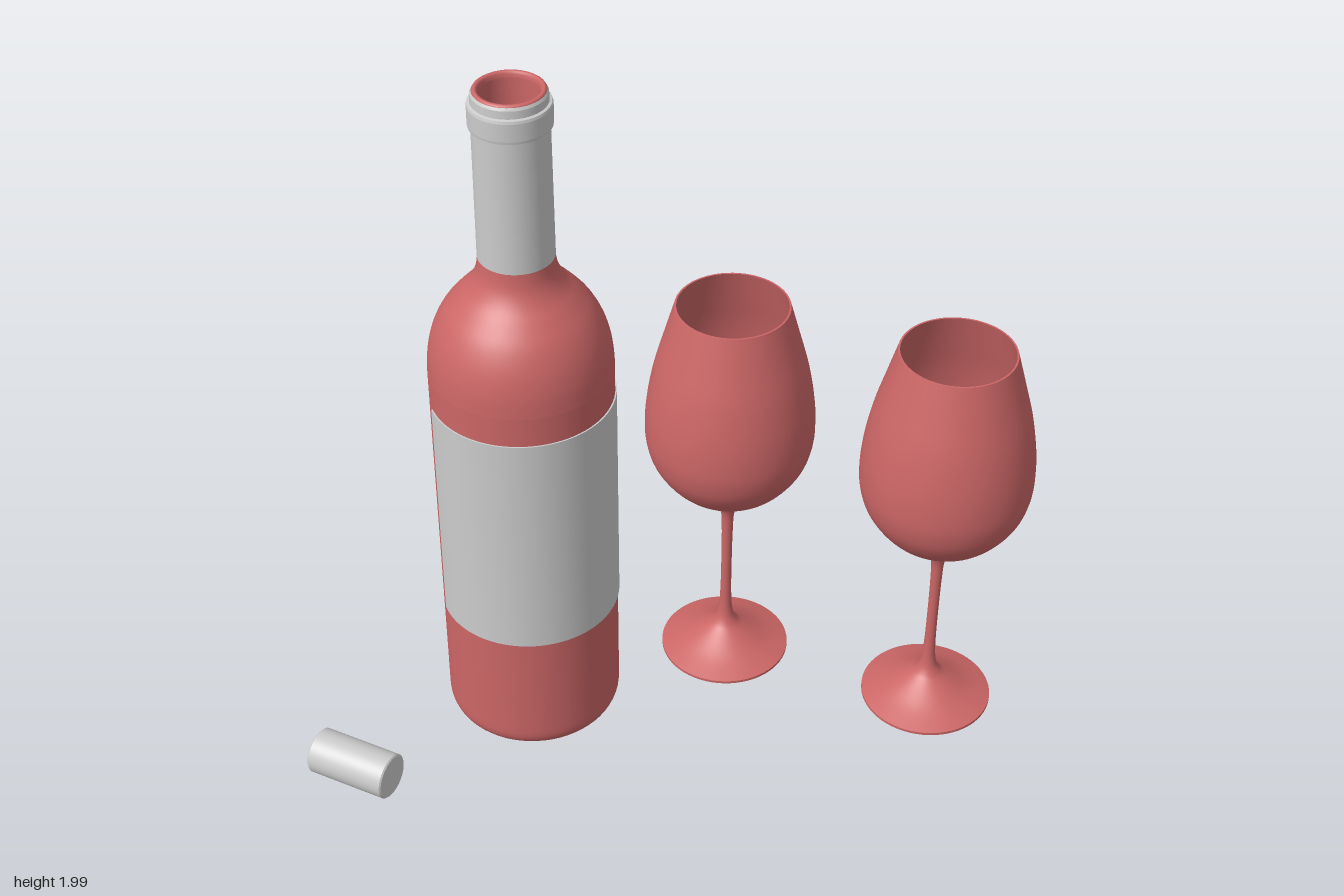
import * as THREE from 'three';
import { mergeGeometries } from 'three/addons/utils/BufferGeometryUtils.js';

const glassMaterial = new THREE.MeshStandardMaterial({ color: 0xcc6666, side: THREE.DoubleSide });
const greyMaterial = new THREE.MeshStandardMaterial({ color: 0xcccccc, side: THREE.DoubleSide });

const vectors = (pairs) => pairs.map(([r, y]) => new THREE.Vector2(r, y));

// Smooth profile through a few [radius, y] points
const smooth = (pairs, steps = 40) =>
  new THREE.SplineCurve(vectors(pairs)).getPoints(steps).map((p) => p.setX(Math.max(p.x, 0)));

// Each profile is smooth in itself; edges between profiles stay sharp
function turned(name, profiles, material, start = 0, sweep = Math.PI * 2) {
  const parts = profiles.map((p) => new THREE.LatheGeometry(p, 64, start, sweep));
  const mesh = new THREE.Mesh(mergeGeometries(parts), material);
  mesh.name = name;
  return mesh;
}

// Straight-edged profile: one sharp band per pair of neighbouring points
const bands = (pairs) => pairs.slice(1).map((p, i) => vectors([pairs[i], p]));

function createBottle() {
  const bottle = new THREE.Group();
  bottle.name = 'bottle';

  // Punt, rounded heel, straight wall, shoulder and neck
  const punt = smooth([[0, 0.08], [0.05, 0.073], [0.1, 0.045], [0.14, 0.018], [0.17, 0.01]], 20);
  const heel = smooth([[0.17, 0.01], [0.2, 0.013], [0.228, 0.028], [0.241, 0.055], [0.243, 0.09]], 16);
  const wall = vectors([[0.243, 0.09], [0.243, 1.18]]);
  const shoulder = smooth([[0.243, 1.18], [0.238, 1.24], [0.223, 1.3], [0.196, 1.355], [0.16, 1.4],
    [0.128, 1.435], [0.108, 1.47], [0.099, 1.51], [0.095, 1.56]]);
  const neck = vectors([[0.095, 1.56], [0.092, 1.97]]);
  const lip = smooth([[0.092, 1.97], [0.091, 1.985], [0.085, 1.99], [0.078, 1.987], [0.075, 1.975]], 12);
  const inside = smooth([[0.075, 1.975], [0.075, 1.75], [0.078, 1.52], [0.14, 1.39], [0.215, 1.25],
    [0.228, 1.1], [0.228, 0.6], [0.228, 0.1], [0.17, 0.05], [0, 0.1]], 60);
  bottle.add(turned('bottleGlass', [[...punt, ...heel.slice(1)], wall, shoulder, neck, lip, inside], glassMaterial));

  // Label on the front half
  bottle.add(turned('label', bands([[0.243, 0.41], [0.247, 0.41], [0.247, 1.095], [0.243, 1.095]]),
    greyMaterial, -Math.PI / 2, Math.PI));

  // Foil sleeve with collar
  bottle.add(turned('foil', bands([[0.094, 1.52], [0.099, 1.52], [0.097, 1.89], [0.104, 1.893],
    [0.105, 1.9], [0.105, 1.948], [0.103, 1.955], [0.096, 1.957], [0.095, 1.978], [0.091, 1.985]]), greyMaterial));

  bottle.position.set(-0.3, 0, -0.19);
  return bottle;
}

function createWineGlass(name, x, z) {
  // Foot underside, foot edge, foot-stem-bowl outside, rim and bowl inside
  const underside = vectors([[0, 0], [0.185, 0]]);
  const edge = vectors([[0.185, 0], [0.185, 0.008]]);
  const outside = smooth([[0.185, 0.008], [0.12, 0.034], [0.06, 0.07], [0.034, 0.094], [0.021, 0.13],
    [0.016, 0.2], [0.015, 0.32], [0.016, 0.44], [0.02, 0.5], [0.04, 0.54], [0.09, 0.58], [0.16, 0.632],
    [0.21, 0.7], [0.231, 0.765], [0.235, 0.83], [0.229, 0.91], [0.211, 1.01], [0.184, 1.11], [0.156, 1.21]], 100);
  const rim = vectors([[0.156, 1.21], [0.151, 1.21]]);
  const inside = smooth([[0.151, 1.21], [0.179, 1.11], [0.206, 1.01], [0.224, 0.91], [0.23, 0.83],
    [0.226, 0.765], [0.205, 0.702], [0.155, 0.637], [0.085, 0.585], [0.035, 0.56], [0, 0.553]], 50);
  const mesh = turned(name, [underside, edge, outside, rim, inside], glassMaterial);
  mesh.position.set(x, 0, z);
  return mesh;
}

// Cork lying on its side, turned towards the front
function createCork() {
  const r = 0.064, h = 0.118, c = 0.004;
  const cork = turned('cork', bands([[0, -h], [r - c, -h], [r, -h + c], [r, h - c], [r - c, h], [0, h]]), greyMaterial);
  const axis = new THREE.Vector3(0.684, 0, 0.73).normalize();
  cork.quaternion.setFromUnitVectors(new THREE.Vector3(0, 1, 0), axis);
  cork.position.set(-0.875, 0.074, -0.025);
  return cork;
}

export function createModel() {
  const model = new THREE.Group();
  model.name = 'wineSet';
  model.add(
    createBottle(),
    createWineGlass('backWineGlass', 0.295, -0.2),
    createWineGlass('frontWineGlass', 0.762, 0.2),
    createCork(),
  );
  return model;
}
